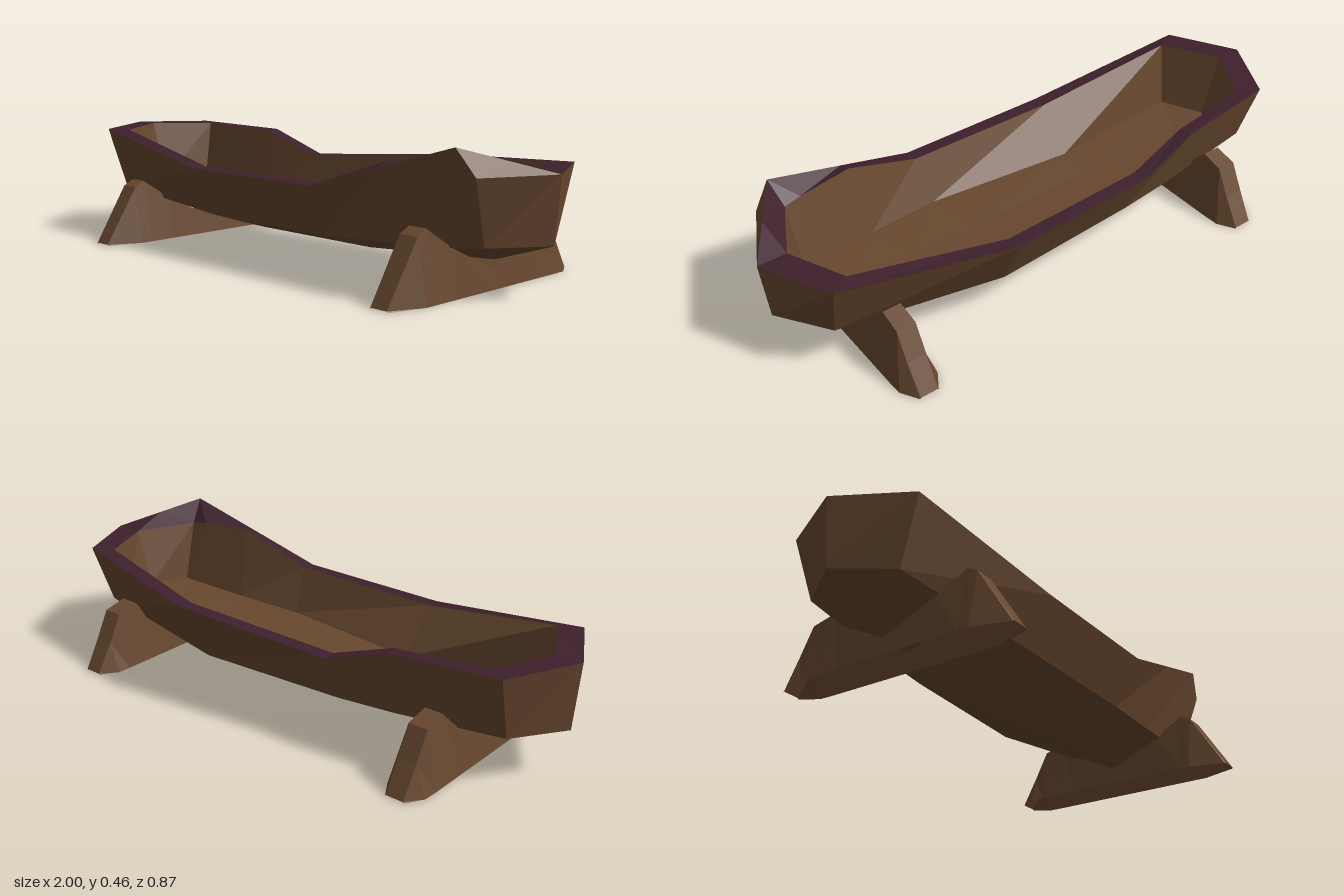
import * as THREE from 'three';

// Flat-shaded band of quads between two loops with equal point counts
function strip(a, b, closed = true) {
  const pos = [];
  const n = a.length;
  for (let i = 0; i < (closed ? n : n - 1); i++) {
    const j = (i + 1) % n;
    pos.push(...a[i], ...a[j], ...b[j], ...a[i], ...b[j], ...b[i]);
  }
  const g = new THREE.BufferGeometry();
  g.setAttribute('position', new THREE.Float32BufferAttribute(pos, 3));
  g.computeVertexNormals();
  return g;
}

export function createModel() {
  const wood = new THREE.MeshStandardMaterial({
    name: 'brown wood', color: 0x68482f, flatShading: true, side: THREE.DoubleSide,
  });
  const trim = new THREE.MeshStandardMaterial({ name: 'dark plum', color: 0x3e202d, flatShading: true });
  const model = new THREE.Group();
  model.name = 'trough';
  const add = (parent, name, geo, mat) => {
    const m = new THREE.Mesh(geo, mat);
    m.name = name;
    parent.add(m);
  };

  // Hull loops: left end, along the front, right end, back along the rear
  const peak = [0.82, 0.46, 0.26];
  const corner = [0.88, 0.376, 0.24];
  const tip = [1, 0.376, 0];
  const outer = [
    [-1, 0.394, 0], [-0.875, 0.39, 0.24], [-0.28, 0.3, 0.305], [0.28, 0.3, 0.305],
    [0.55, 0.38, 0.283], peak, corner, tip,
    [0.88, 0.38, -0.245], [0.3, 0.343, -0.37], [-0.28, 0.3, -0.305], [-0.5, 0.38, -0.285], [-0.875, 0.39, -0.24],
  ];
  const inner = [
    [-0.91, 0.394, 0], [-0.8, 0.39, 0.2], [-0.28, 0.302, 0.252], [0.28, 0.305, 0.252],
    [0.55, 0.4, 0.228], [0.74, 0.39, 0.206], [0.8, 0.38, 0.2], [0.9, 0.376, 0],
    [0.81, 0.378, -0.2], [0.3, 0.34, -0.315], [-0.27, 0.3, -0.255], [-0.49, 0.375, -0.235], [-0.8, 0.388, -0.2],
  ];
  const floor = [
    [-0.84, 0.175, 0], [-0.78, 0.165, 0.155], [-0.28, 0.15, 0.13], [0.26, 0.15, 0.185],
    [0.52, 0.157, 0.163], [0.75, 0.168, 0.144], [0.79, 0.17, 0.14], [0.84, 0.175, 0],
    [0.8, 0.17, -0.16], [0.28, 0.15, -0.228], [-0.27, 0.15, -0.21], [-0.47, 0.155, -0.19], [-0.78, 0.165, -0.155],
  ];
  const belt = [
    [-0.98, 0.165, 0], [-0.86, 0.165, 0.17], [-0.27, 0.13, 0.22], [0.26, 0.13, 0.22],
    [0.52, 0.14, 0.2], [0.8, 0.157, 0.178], [0.86, 0.165, 0.17], [0.98, 0.165, 0],
    [0.86, 0.165, -0.175], [0.28, 0.13, -0.26], [-0.27, 0.13, -0.225], [-0.48, 0.14, -0.21], [-0.86, 0.165, -0.17],
  ];
  // Keel height by x, shared by both sides
  const keelY = (x) => 0.06 + 0.07 * Math.max(0, Math.abs(x) - 0.26);
  const keel = belt.map(([x, y, z]) => {
    if (z === 0) return [x, y, 0];
    const k = THREE.MathUtils.clamp(x, -0.77, 0.77);
    return [k, keelY(k), 0];
  });
  const centre = floor.map(([x, y, z]) => (z === 0 ? [x, y, 0] : [x * 0.9, y - 0.005, 0]));
  // The rim runs straight from the raised peak to the tip, above the wall corner
  const rimEdge = outer.map((p) => (p === corner ? peak.map((v, i) => (v + tip[i]) / 2) : p));
  const gusset = [corner, tip, peak];
  const gussetMid = gusset.map(() => [0, 1, 2].map((i) => (corner[i] + tip[i] + peak[i]) / 3));

  const hull = new THREE.Group();
  hull.name = 'hull';
  model.add(hull);
  add(hull, 'outerWall', strip(belt, outer), wood);
  add(hull, 'peakWall', strip(gusset, gussetMid), wood);
  add(hull, 'underside', strip(keel, belt), wood);
  add(hull, 'rim', strip(rimEdge, inner), trim);
  add(hull, 'innerWall', strip(inner, floor), wood);
  add(hull, 'basinFloor', strip(floor, centre), wood);

  // Saddle-shaped stands, open underneath: z, top height, half width at ground, half width on top
  const profile = [
    [0.435, 0.004, 0.034, 0.031], [0.31, 0.2, 0.072, 0.034], [0.272, 0.22, 0.072, 0.032],
    [0.17, 0.15, 0.072, 0.05], [-0.01, 0.062, 0.072, 0.062], [-0.18, 0.15, 0.072, 0.05],
    [-0.245, 0.22, 0.072, 0.032], [-0.325, 0.2, 0.072, 0.034], [-0.375, 0.105, 0.07, 0.034],
    [-0.435, 0.004, 0.034, 0.031],
  ];
  const sections = profile.map(([z, y, wb, wt]) => [[wb, 0, z], [wt, y, z], [-wt, y, z], [-wb, 0, z]]);
  [['rightStand', -0.65], ['leftStand', 0.695]].forEach(([name, x]) => {
    const stand = new THREE.Group();
    stand.name = name;
    stand.position.x = x;
    for (let i = 0; i < sections.length - 1; i++) {
      add(stand, 'standShell', strip(sections[i + 1], sections[i], false), wood);
    }
    model.add(stand);
  });
  return model;
}
